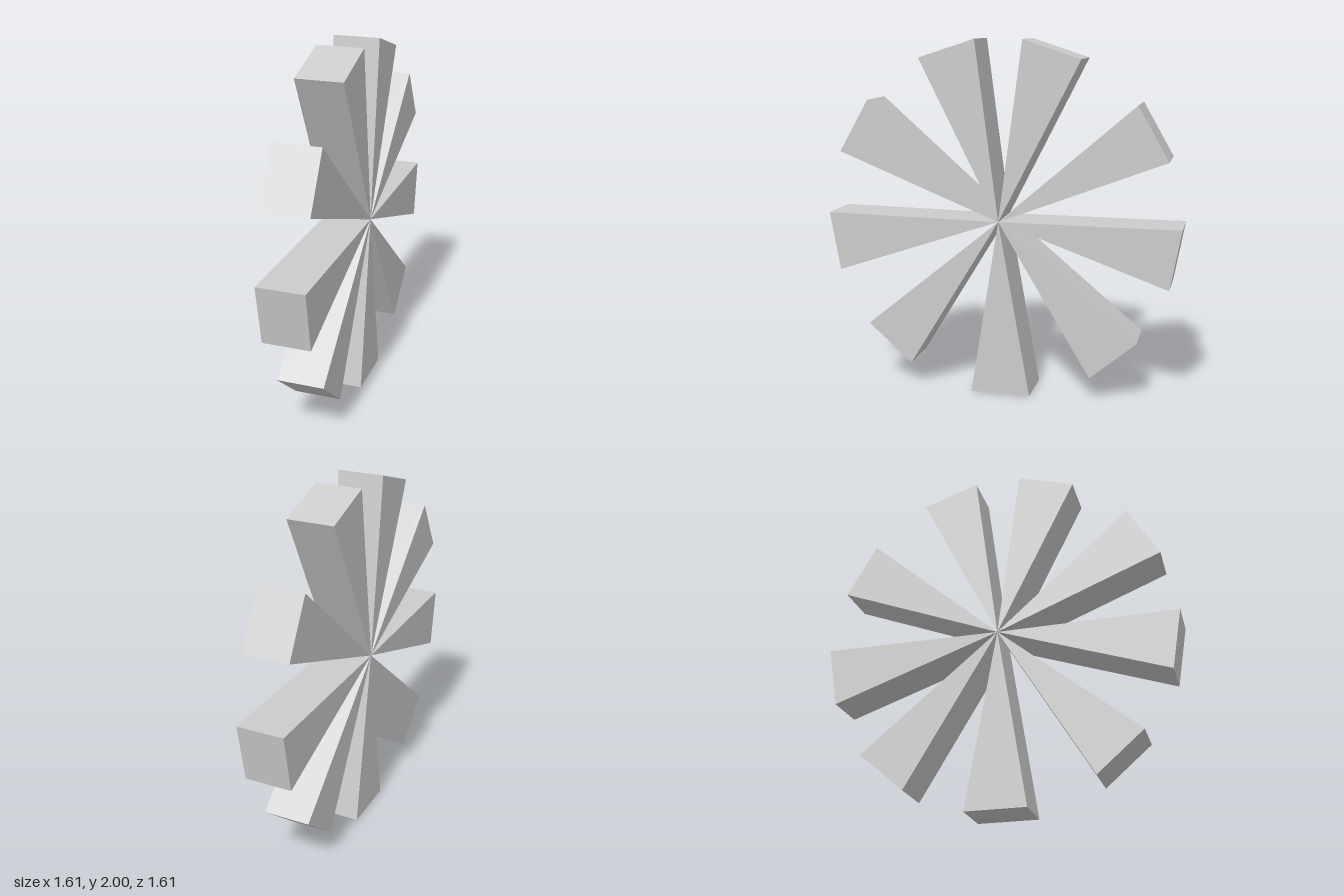
import * as THREE from 'three';

const HUB_Y = 1.003;     // height of the point where all wedges meet
const THICKNESS = 0.262;

// Outer corners [across, height] of the wedges on one side; the other side is mirrored
const SIDE_WEDGES = {
  topWedge: [[0.452, 1.897], [0.133, 2.0]],
  upperWedge: [[0.927, 1.367], [0.756, 1.662]],
  middleWedge: [[0.948, 0.674], [1.007, 1.009]],
  lowerWedge: [[0.523, 0.14], [0.779, 0.36]],
};

const material = new THREE.MeshStandardMaterial({ color: 0xcccccc, flatShading: true });

// Triangular prism with its sharp edge at the hub
function wedge(name, [a, b], mirror = 1) {
  const shape = new THREE.Shape([
    new THREE.Vector2(0, HUB_Y),
    new THREE.Vector2(a[0] * mirror, a[1]),
    new THREE.Vector2(b[0] * mirror, b[1]),
  ]);
  const geometry = new THREE.ExtrudeGeometry(shape, { depth: THICKNESS, bevelEnabled: false });
  geometry.translate(0, 0, -THICKNESS / 2);
  const mesh = new THREE.Mesh(geometry, material);
  mesh.name = name;
  return mesh;
}

export function createModel() {
  const model = new THREE.Group();
  model.name = 'wedgeWheel';

  // Mirrored pairs of wedges
  for (const [name, corners] of Object.entries(SIDE_WEDGES)) {
    model.add(wedge(name + 'Left', corners, 1), wedge(name + 'Right', corners, -1));
  }

  // Single wedge standing on the ground
  model.add(wedge('bottomWedge', [[-0.16, 0], [0.181, 0]]));

  // The wheel stands diagonally
  const wheel = new THREE.Group();
  wheel.name = 'wheel';
  model.rotation.y = Math.PI / 4;
  wheel.add(model);
  return wheel;
}
